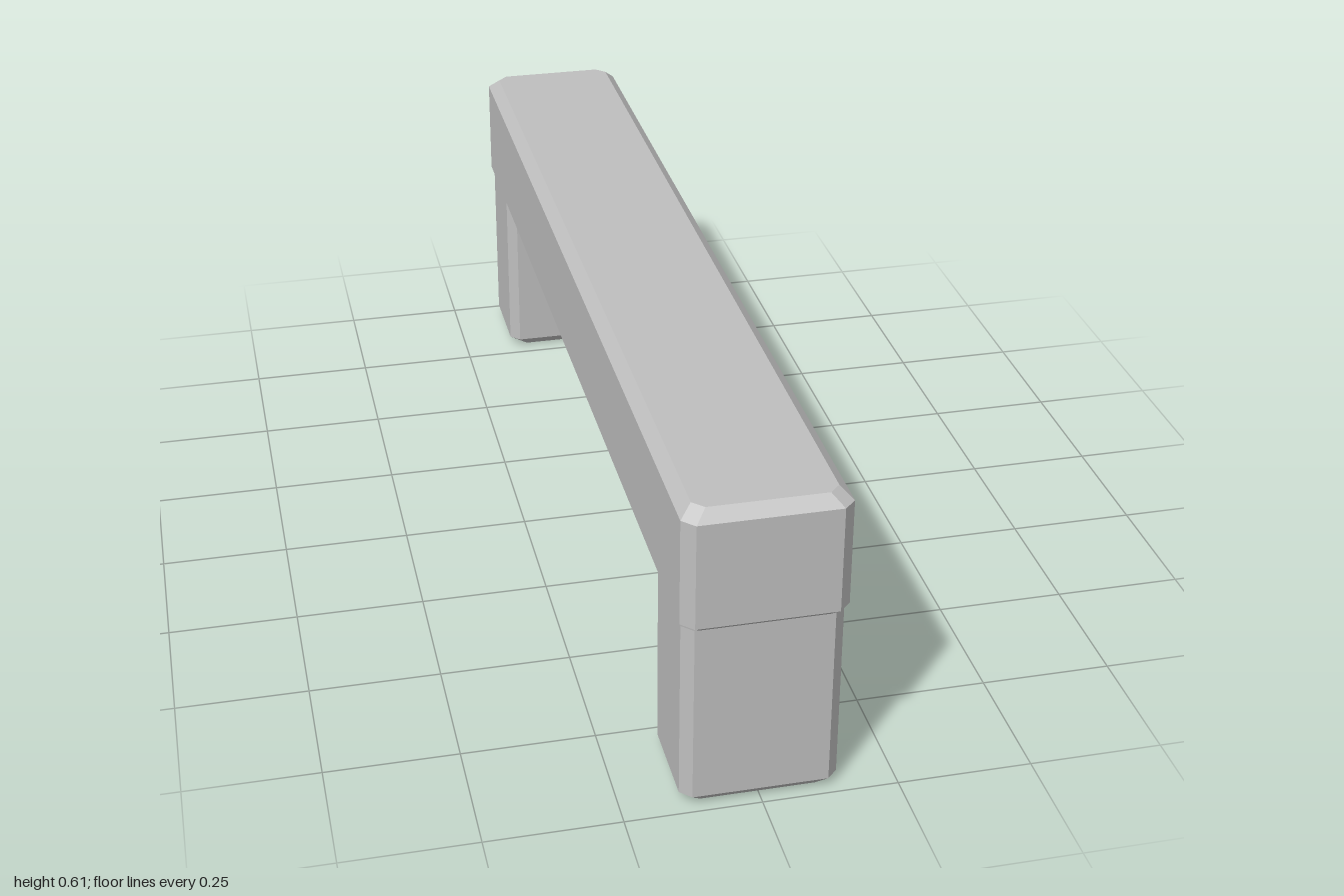
import * as THREE from 'three';

const grey = new THREE.MeshStandardMaterial({ color: 0xbfbfbf, side: THREE.DoubleSide });
grey.name = 'plainGrey';

// Rectangle with cut corners, counter-clockwise seen from above
function ring(y, hx, hz, c, zc = 0) {
  return [
    [hx, hz - c], [hx, c - hz], [hx - c, -hz], [c - hx, -hz],
    [-hx, c - hz], [-hx, hz - c], [c - hx, hz], [hx - c, hz],
  ].map(([x, z]) => new THREE.Vector3(x, y, z + zc));
}

// Flat-shaded mesh from convex polygons
function polyMesh(name, polys) {
  const pts = [];
  for (const p of polys) for (let i = 1; i < p.length - 1; i++) pts.push(p[0], p[i], p[i + 1]);
  const geo = new THREE.BufferGeometry().setFromPoints(pts);
  geo.computeVertexNormals();
  const mesh = new THREE.Mesh(geo, grey);
  mesh.name = name;
  return mesh;
}

// Side faces between two rings; sides: 0 = +x, 2 = -z, 4 = -x, 6 = +z, odd = corners
function band(lo, hi, skip = []) {
  const polys = [];
  for (let i = 0; i < 8; i++) {
    if (skip.includes(i)) continue;
    const j = (i + 1) % 8;
    polys.push([lo[i], lo[j], hi[j], hi[i]]);
  }
  return polys;
}

function makeBeam() {
  const beam = new THREE.Group();
  beam.name = 'beam';
  const bottom = ring(0.37, 0.128, 0.98, 0.016);
  const low = ring(0.387, 0.149, 1, 0.022);
  const high = ring(0.592, 0.149, 1, 0.022);
  const top = ring(0.613, 0.127, 0.978, 0.02);
  // The +x side is open between two narrow end strips
  const strips = [1, -1].map((s) => {
    const a = s > 0 ? 0.978 : -0.935, b = s > 0 ? 0.935 : -0.978;
    return [[0.387, a], [0.387, b], [0.592, b], [0.592, a]].map(([y, z]) => new THREE.Vector3(0.149, y, z));
  });
  const floor = [[-0.128, -0.775], [0.128, -0.775], [0.128, 0.775], [-0.128, 0.775]]
    .map(([x, z]) => new THREE.Vector3(x, 0.37, z));
  beam.add(
    polyMesh('beamTop', [top, ...band(high, top)]),
    polyMesh('beamWalls', [...band(low, high, [0]), ...strips]),
    polyMesh('beamLowerBevel', band(bottom, low)),
    polyMesh('beamFloor', [floor]),
  );
  return beam;
}

function makeLeg(zc, name) {
  const leg = new THREE.Group();
  leg.name = name;
  const hx = 0.144, hz = 0.105, c = 0.02, y0 = 0.02, y1 = 0.374;
  const low = ring(y0, hx, hz, c), high = ring(y1, hx, hz, c);
  leg.add(polyMesh('legWalls', band(low, high, [0])));

  // +x panel with a slot that is open at the bottom
  const w = hz - c, s = 0.075, t = 0.216, r = 0.014;
  const shape = new THREE.Shape();
  shape.moveTo(-w, y0);
  shape.lineTo(-s, y0);
  shape.lineTo(-s, t - r);
  shape.quadraticCurveTo(-s, t, -s + r, t);
  shape.lineTo(s - r, t);
  shape.quadraticCurveTo(s, t, s, t - r);
  shape.lineTo(s, y0);
  shape.lineTo(w, y0);
  shape.lineTo(w, y1);
  shape.lineTo(-w, y1);
  const panel = new THREE.Mesh(new THREE.ShapeGeometry(shape, 4), grey);
  panel.name = 'slottedPanel';
  panel.rotation.y = Math.PI / 2;
  panel.position.x = hx;
  leg.add(panel);

  // Bevelled feet on the two end walls; the underside stays open
  const f = (x, z) => new THREE.Vector3(x, 0, z);
  const zi = hz - 0.018, xi = 0.105;
  leg.add(polyMesh('footBevels', [
    [f(xi, -zi), f(-xi, -zi), low[3], low[2]],
    [f(-xi, zi), f(xi, zi), low[7], low[6]],
    [f(xi, -zi), low[2], low[1]],
    [f(-xi, -zi), low[4], low[3]],
    [f(-xi, zi), low[6], low[5]],
    [f(xi, zi), low[0], low[7]],
  ]));
  leg.position.z = zc;
  return leg;
}

export function createModel() {
  const model = new THREE.Group();
  model.name = 'hollowBeamOnLegs';
  model.add(makeBeam(), makeLeg(0.88, 'frontLeg'), makeLeg(-0.88, 'backLeg'));
  return model;
}
